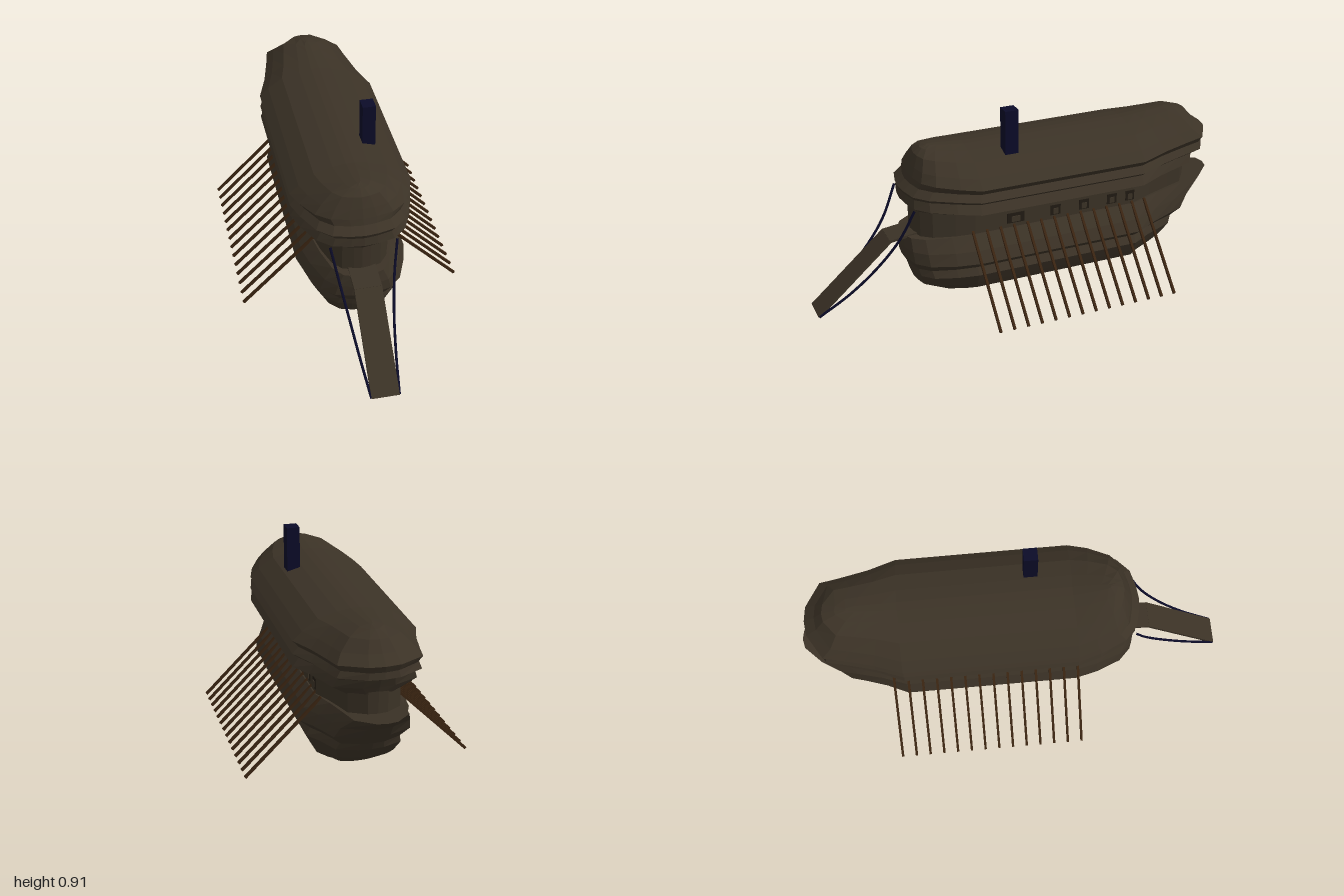
import * as THREE from 'three';

const mat = (name, color, extra = {}) => {
  const m = new THREE.MeshStandardMaterial({ color, ...extra });
  m.name = name;
  return m;
};

// Half plan of the ship: [fraction of half width, fraction of the bow or stern length]
const BOW = [[0, 1], [0.22, 0.98], [0.5, 0.92], [0.72, 0.75], [0.9, 0.4], [1, 0.08]];
const STERN = [[1, 0], [0.84, 0.3], [0.73, 0.6], [0.66, 0.82], [0.25, 0.98], [0, 1]];
const BOW_Z = 0.25, STERN_Z = -0.53;

// Stack of horizontal rings; each level is [y, halfWidth, frontZ, backZ]
function loft(levels, riseFront, riseBack) {
  const pos = [], idx = [];
  const half = BOW.length + STERN.length;
  const n = 2 * half - 2;
  for (const [y, w, zf, zb] of levels) {
    const side = [
      ...BOW.map(([x, u]) => [x * w, BOW_Z + (zf - BOW_Z) * u]),
      ...STERN.map(([x, u]) => [x * w, STERN_Z + (zb - STERN_Z) * u]),
    ];
    const ring = [...side, ...side.slice(1, -1).reverse().map(([x, z]) => [-x, z])];
    for (const [x, z] of ring) {
      const f = THREE.MathUtils.clamp((z - BOW_Z) / 0.2, 0, 1);
      const b = THREE.MathUtils.clamp((STERN_Z - z) / 0.4, 0, 1.2);
      pos.push(x, y + riseFront * f + riseBack * b, z);
    }
  }
  for (let j = 0; j < levels.length - 1; j++) {
    for (let i = 0; i < n; i++) {
      const a = j * n + i, b = j * n + (i + 1) % n;
      idx.push(a, b, b + n, a, b + n, a + n);
    }
  }
  // flat caps made of strips across the beam
  const top = (levels.length - 1) * n;
  for (let i = 0; i < half - 1; i++) {
    const a = i, b = i + 1, c = (n - i - 1) % n, d = (n - i) % n;
    idx.push(top + a, top + b, top + c, top + a, top + c, top + d);
    idx.push(a, c, b, a, d, c);
  }
  const g = new THREE.BufferGeometry();
  g.setAttribute('position', new THREE.Float32BufferAttribute(pos, 3));
  g.setIndex(idx);
  const flat = g.toNonIndexed();
  flat.computeVertexNormals();
  return flat;
}

export function createModel() {
  const ship = new THREE.Group();
  ship.name = 'coveredShip';
  const timber = mat('dark timber', 0x3b3226, { flatShading: true });
  const oarWood = mat('oar wood', 0x3a2411);
  const navy = mat('navy black', 0x0b0b28);
  const shade = mat('window shade', 0x211b13);

  const add = (name, geometry, material, parent = ship) => {
    const m = new THREE.Mesh(geometry, material);
    m.name = name;
    parent.add(m);
    return m;
  };
  const group = (name) => {
    const g = new THREE.Group();
    g.name = name;
    ship.add(g);
    return g;
  };

  // Hull with stepped strakes and an upswept stern
  add('hull', loft([
    [0.02, 0.06, 0.28, -0.58],
    [0.035, 0.12, 0.31, -0.62],
    [0.065, 0.17, 0.44, -0.68],
    [0.1, 0.19, 0.52, -0.74],
    [0.155, 0.22, 0.54, -0.79],
    [0.19, 0.2, 0.55, -0.81],
    [0.235, 0.255, 0.575, -0.85],
    [0.29, 0.23, 0.58, -0.9],
    [0.35, 0.18, 0.58, -1.0],
  ], -0.008, 0.05), timber);

  // Cabin walls
  add('cabin', loft([
    [0.33, 0.174, 0.53, -0.87],
    [0.5, 0.174, 0.53, -0.87],
  ], 0, 0), timber);

  // Ridged roof with raised ends
  add('roof', loft([
    [0.445, 0.175, 0.53, -0.86],
    [0.49, 0.277, 0.575, -0.88],
    [0.53, 0.25, 0.57, -0.9],
    [0.55, 0.277, 0.58, -0.95],
    [0.58, 0.25, 0.545, -0.945],
    [0.61, 0.277, 0.535, -0.96],
    [0.65, 0.235, 0.52, -0.91],
    [0.7, 0.165, 0.5, -0.87],
    [0.724, 0.08, 0.47, -0.81],
    [0.733, 0.02, 0.44, -0.76],
  ], 0.022, 0.03), timber);

  // Square chimney
  add('chimney', new THREE.BoxGeometry(0.06, 0.235, 0.064), navy).position.set(0.12, 0.798, 0.083);

  // Boarding ramp: landing plank and sloping board
  const ramp = group('boardingRamp');
  const board = (name, z0, y0, z1, y1) => {
    const m = add(name, new THREE.BoxGeometry(0.125, 0.012, Math.hypot(z1 - z0, y1 - y0)), timber, ramp);
    m.position.set(0, (y0 + y1) / 2, (z0 + z1) / 2);
    m.rotation.x = Math.atan2(y0 - y1, z1 - z0);
  };
  board('landingPlank', 0.5, 0.347, 0.645, 0.328);
  board('rampBoard', 0.64, 0.33, 0.996, 0.01);

  const ropes = group('rampRopes');
  const oars = group('oars');
  const windows = group('windows');
  const oarGeo = new THREE.BoxGeometry(0.012, 0.482, 0.011);
  for (const s of [1, -1]) {
    // Sagging rope from the roof to the ramp foot
    const curve = new THREE.CatmullRomCurve3([
      [0.15, 0.51, 0.55], [0.123, 0.36, 0.62], [0.1, 0.23, 0.72], [0.08, 0.11, 0.85], [0.062, 0.012, 0.994],
    ].map(([x, y, z]) => new THREE.Vector3(s * x, y, z)));
    add('rope', new THREE.TubeGeometry(curve, 20, 0.006, 6), navy, ropes);

    // Oars leaning out at 45 degrees
    for (let i = 0; i < 14; i++) {
      const oar = add('oar', oarGeo, oarWood, oars);
      oar.position.set(s * 0.338, 0.19, 0.284 - i * 0.0672);
      oar.rotation.z = s * Math.PI / 4;
    }

    // Small cabin windows, each with a central shutter
    for (const [z, w] of [[0.075, 0.085], [-0.125, 0.05], [-0.27, 0.05], [-0.415, 0.05], [-0.51, 0.045]]) {
      add('windowOpening', new THREE.BoxGeometry(0.006, 0.05, w), shade, windows)
        .position.set(s * 0.174, 0.395, z);
      add('shutter', new THREE.BoxGeometry(0.009, 0.028, w * 0.5), timber, windows)
        .position.set(s * 0.176, 0.39, z);
    }
  }
  return ship;
}
